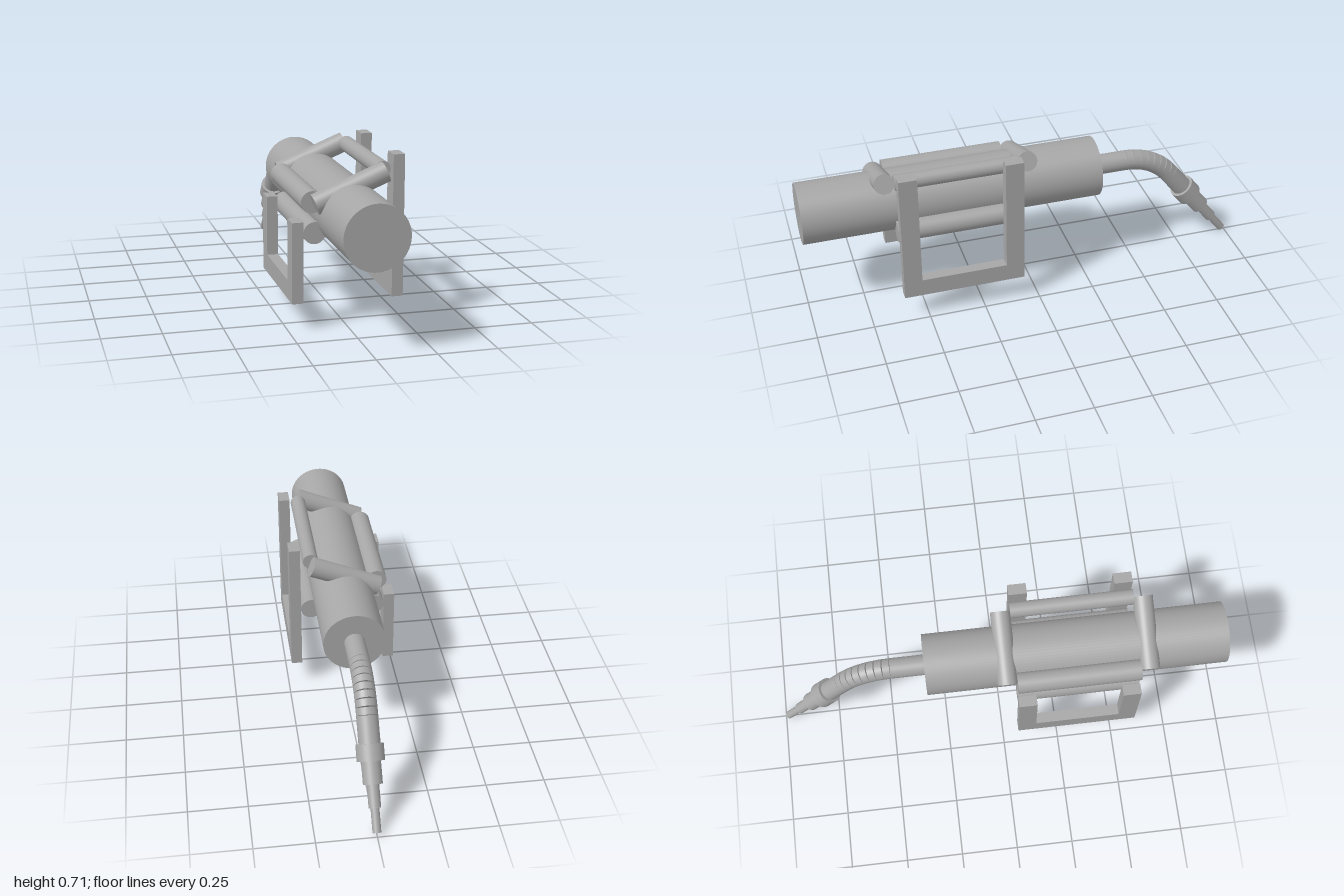
import * as THREE from 'three';

export function createModel() {
  const model = new THREE.Group();
  model.name = 'weldingTorch';
  const grey = new THREE.MeshStandardMaterial({ color: 0xa6a6a6 });
  grey.name = 'grey metal';
  const V = (x, y, z) => new THREE.Vector3(x, y, z);

  // Closed cylinder running from point a to point b
  function rod(name, a, b, radius, sides = 48) {
    const dir = b.clone().sub(a);
    const mesh = new THREE.Mesh(new THREE.CylinderGeometry(radius, radius, dir.length(), sides), grey);
    mesh.name = name;
    mesh.position.copy(a).add(b).multiplyScalar(0.5);
    mesh.quaternion.setFromUnitVectors(V(0, 1, 0), dir.normalize());
    model.add(mesh);
  }

  // Main body
  const axisY = 0.483;
  rod('body', V(0, axisY, 1), V(0, axisY, -0.325), 0.134, 64);

  // Four rails along the body
  const back = 0.067, front = 0.605;
  const upperLeft = [0.141, 0.655], upperRight = [-0.152, 0.536];
  const rails = [
    ['lowerRailLeft', [0.1415, 0.408], 0.046],
    ['lowerRailRight', [-0.1415, 0.408], 0.046],
    ['upperRailLeft', upperLeft, 0.034],
    ['upperRailRight', upperRight, 0.046],
  ];
  for (const [name, [x, y], r] of rails) rod(name, V(x, y, back), V(x, y, front), r);

  // Slanted cross bars at both ends of the upper rails
  for (const [name, z] of [['frontCrossBar', 0.646], ['backCrossBar', 0.025]]) {
    rod(name, V(...upperRight, z), V(...upperLeft, z), 0.0435);
  }

  // U-shaped side frames, open at the top
  function sideFrame(name, x, top) {
    const bottom = 0.115, bar = 0.08, depth = 0.048;
    const outline = [
      [back, bottom], [front, bottom], [front, top], [front - bar, top],
      [front - bar, bottom + bar], [back + bar, bottom + bar], [back + bar, top], [back, top],
    ].map(([z, y]) => new THREE.Vector2(-z, y));
    const geometry = new THREE.ExtrudeGeometry(new THREE.Shape(outline), { depth, bevelEnabled: false });
    geometry.translate(0, 0, -depth / 2).rotateY(Math.PI / 2);
    const mesh = new THREE.Mesh(geometry, grey);
    mesh.name = name;
    mesh.position.x = x;
    model.add(mesh);
  }
  sideFrame('leftFrame', 0.211, 0.713);
  sideFrame('rightFrame', -0.211, 0.455);

  // Neck: straight start, then short straight links following an arc
  const neckR = 0.045, bendZ = -0.475, bendR = 0.277, bend = 0.895, links = 8;
  rod('neckStart', V(0, axisY, -0.3), V(0, axisY, bendZ), neckR);
  const onArc = (t) => V(0, axisY - bendR * (1 - Math.cos(t)), bendZ - bendR * Math.sin(t));
  for (let i = 0; i < links; i++) {
    rod('neckLink', onArc(bend * i / links), onArc(bend * (i + 1) / links), neckR);
  }

  // Straight stepped tip along the end of the bend
  const end = onArc(bend);
  const atHeight = (y) => V(0, y, end.z - (end.y - y) / Math.tan(bend));
  rod('neckEnd', end, atHeight(0.28), neckR);
  rod('collar', atHeight(0.29), atHeight(0.236), 0.0575);
  rod('nozzle', atHeight(0.24), atHeight(0.163), 0.0405);
  rod('tipHolder', atHeight(0.17), atHeight(0.089), 0.0255);
  rod('tip', atHeight(0.095), atHeight(0.0113), 0.018);

  return model;
}
